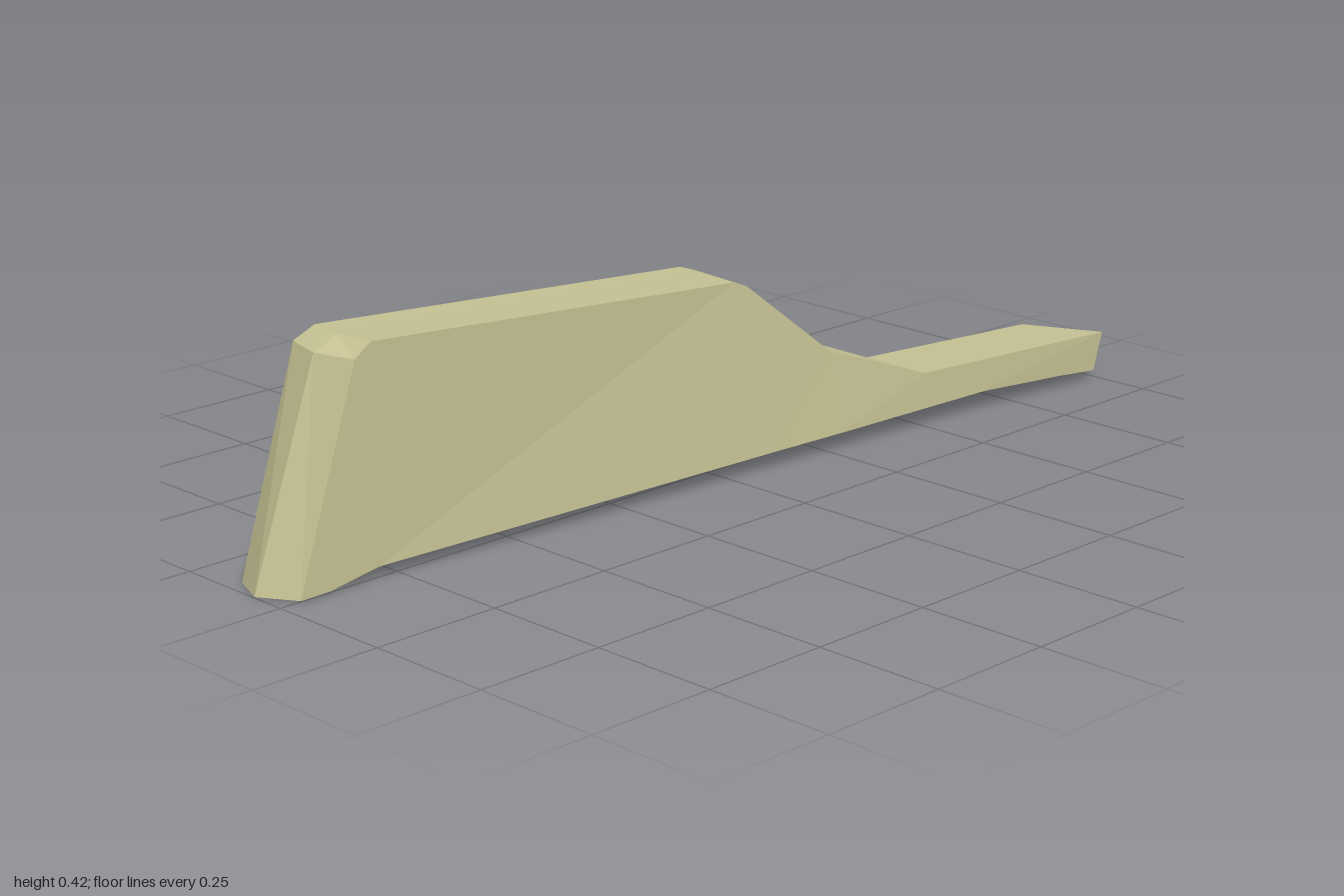
import * as THREE from 'three';

// Stations run from the foot of the left end, over the top, to the foot of the right end.
// front / back: outer rim edges; inner: inner edge of the back ledge; foot: where the
// sloped inside wall meets the thin panel; base: bottom edge of the panel.
const stations = [
  { front: [-0.96, 0.003, 0.004], back: [-0.97, 0, -0.143], inner: [-0.925, 0.005], foot: [-0.74, 0.027], base: [-0.96, 0.003], bulge: -0.035 },
  { front: [-0.833, 0.395, 0.008], back: [-0.845, 0.4, -0.14], inner: [-0.81, 0.36], foot: [-0.64, 0.3], base: [-0.9, 0.005], bulge: -0.022 },
  { front: [-0.8, 0.42, 0.01], back: [-0.8, 0.42, -0.138], inner: [-0.785, 0.378], foot: [-0.62, 0.31], base: [-0.8, 0.025], bulge: -0.01 },
  { front: [0.03, 0.368, 0.04], back: [0.04, 0.368, -0.11], inner: [0.03, 0.34], foot: [0, 0.285], base: [0.03, 0.033], bulge: 0 },
  { front: [0.06, 0.356, 0.043], back: [0.075, 0.356, -0.107], inner: [0.055, 0.328], foot: [0.02, 0.275], base: [0.1, 0.034], bulge: 0 },
  { front: [0.26, 0.195, 0.07], back: [0.275, 0.198, -0.08], inner: [0.245, 0.17], foot: [0.2, 0.13], base: [0.27, 0.035], bulge: 0 },
  { front: [0.5, 0.108, 0.1], back: [0.5, 0.108, -0.052], inner: [0.48, 0.078], foot: [0.45, 0.062], base: [0.66, 0.04], bulge: 0 },
  { front: [1, 0.098, 0.142], back: [0.93, 0.098, -0.01], inner: [0.89, 0.068], foot: [0.85, 0.058], base: [0.88, 0.028], bulge: 0 },
  { front: [0.98, 0.02, 0.138], back: [0.915, 0.02, -0.01], inner: [0.875, 0.022], foot: [0.86, 0.03], base: [0.98, 0.02], bulge: 0 },
];

// The lower edge runs straight in plan; the panel leans back towards its top edge.
const baseDepth = (x) => 0.07 * (x + 1);
function panelDepth(x, y) {
  const top = x < 0.03 ? 0.01 + 0.036 * (x + 0.8) : 0.04 + 0.107 * (x - 0.03);
  return THREE.MathUtils.lerp(baseDepth(x), top, THREE.MathUtils.clamp(y / 0.4, 0, 1));
}

// Closed cross-section: base front, outer front, middle, outer back, ledge, step, foot, base back
function section(s, k) {
  const F = new THREE.Vector3(...s.front);
  const B = new THREE.Vector3(...s.back);
  const M = F.clone().lerp(B, 0.5);
  M.x += s.bulge;
  const L = new THREE.Vector3(...s.inner, B.z);
  const S = new THREE.Vector3(...s.inner, M.z);
  const behind = ([x, y]) => new THREE.Vector3(x, y, panelDepth(x, y) - 0.012);
  const isEnd = k === 0 || k === stations.length - 1;
  const baseFront = isEnd ? F.clone() : new THREE.Vector3(...s.base, baseDepth(s.base[0]));
  // At both ends the panel's back corner stays at the foot of the end wall.
  const baseBack = k < 3 ? behind(stations[0].foot)
    : k > 6 ? behind(stations[8].foot) : behind(s.base);
  return [baseFront, F, M, B, L, S, behind(s.foot), baseBack];
}

function shellGeometry() {
  const loops = stations.map(section);
  const positions = [];
  const area = new THREE.Triangle();
  const tri = (a, b, c) => {
    area.set(a, b, c);
    if (area.getArea() > 1e-8) for (const p of [a, b, c]) positions.push(p.x, p.y, p.z);
  };
  // Skin between neighbouring sections
  for (let k = 0; k < loops.length - 1; k++) {
    const p = loops[k], q = loops[k + 1], n = p.length;
    for (let j = 0; j < n; j++) {
      const i = (j + 1) % n;
      tri(p[j], q[j], q[i]);
      tri(p[j], q[i], p[i]);
    }
  }
  // Undersides of the two end walls
  const cap = ([, F, M, B, L, S, P], flip) => {
    for (const [a, b] of [[P, F], [F, M], [M, B], [B, L]]) flip ? tri(S, b, a) : tri(S, a, b);
  };
  cap(loops[0], false);
  cap(loops[loops.length - 1], true);

  const geometry = new THREE.BufferGeometry();
  geometry.setAttribute('position', new THREE.Float32BufferAttribute(positions, 3));
  geometry.computeVertexNormals();
  return geometry;
}

export function createModel() {
  const group = new THREE.Group();
  group.name = 'hollowSidePanel';
  const material = new THREE.MeshStandardMaterial({
    color: 0xc4c092, flatShading: true, side: THREE.DoubleSide,
  });
  const shell = new THREE.Mesh(shellGeometry(), material);
  shell.name = 'panelShell';
  group.add(shell);
  return group;
}
